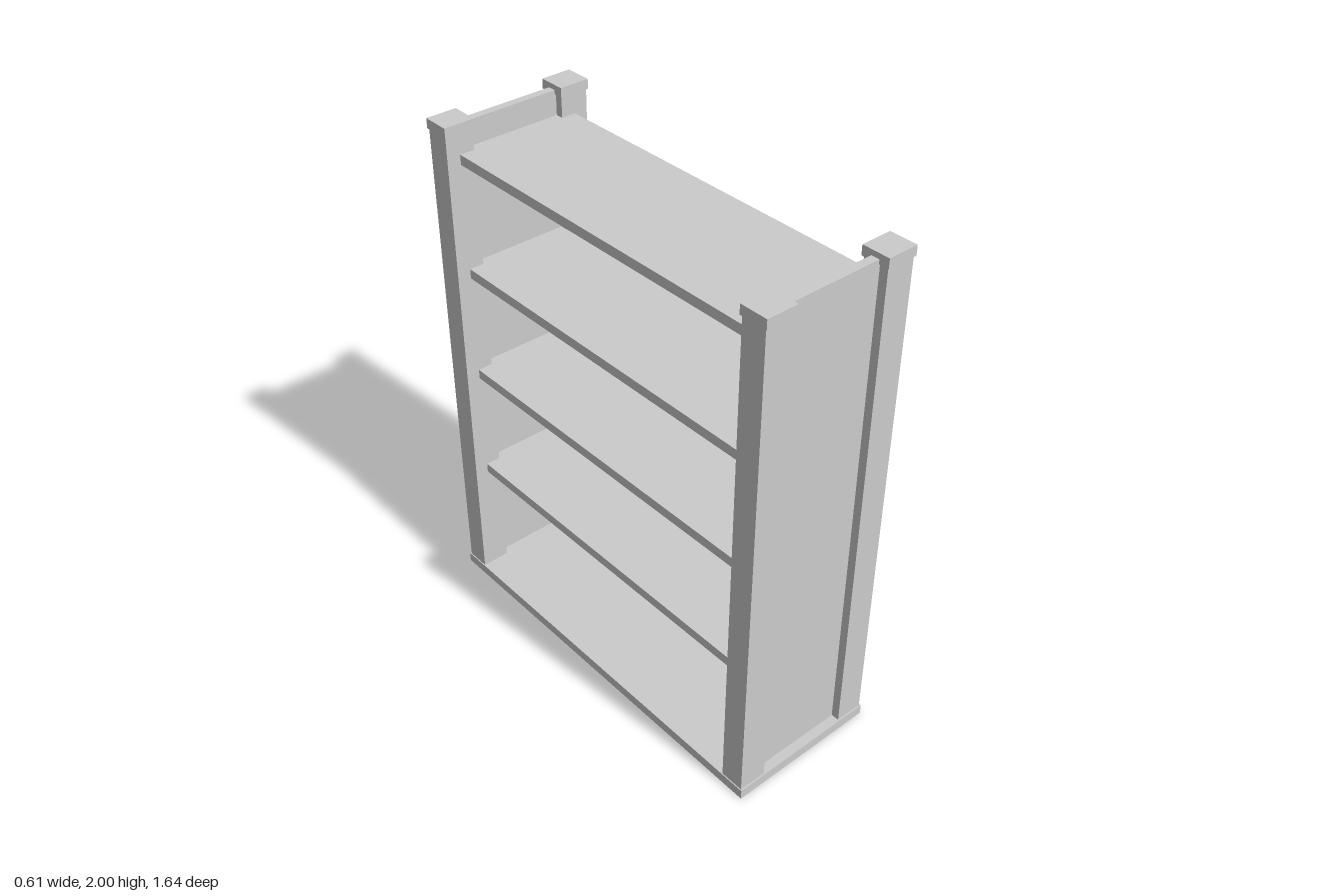
import * as THREE from 'three';

const material = new THREE.MeshStandardMaterial({ color: 0xcccccc });

// Box given by its [min, max] extent along each axis
function box(name, [x0, x1], [y0, y1], [z0, z1]) {
  const mesh = new THREE.Mesh(new THREE.BoxGeometry(x1 - x0, y1 - y0, z1 - z0), material);
  mesh.position.set((x0 + x1) / 2, (y0 + y1) / 2, (z0 + z1) / 2);
  mesh.name = name;
  return mesh;
}

// Extent [inner, outer] mirrored to the given side of the axis
const side = (s, inner, outer) => (s > 0 ? [inner, outer] : [-outer, -inner]);

export function createModel() {
  const group = new THREE.Group();
  group.name = 'shelfUnit';

  // Base board
  const baseTop = 0.04;
  group.add(box('base', [-0.305, 0.305], [0, baseTop], [-0.82, 0.82]));

  // Four shelves, running between the end panels and housed in the posts
  const shelfThickness = 0.038;
  [0.507, 0.958, 1.396, 1.846].forEach((y, i) => {
    group.add(box(`shelf${i + 1}`, [-0.248, 0.248], [y, y + shelfThickness], [-0.752, 0.752]));
  });

  for (const sz of [1, -1]) {
    const end = sz > 0 ? 'front' : 'back';

    // Recessed end panel
    group.add(box(`${end}Panel`, [-0.19, 0.19], [baseTop, 1.98], side(sz, 0.75, 0.782)));

    // Corner posts with slightly overhanging caps
    for (const sx of [1, -1]) {
      const corner = end + (sx > 0 ? 'Left' : 'Right');
      group.add(box(`${corner}Post`, side(sx, 0.19, 0.301), [baseTop, 1.963], side(sz, 0.719, 0.814)));
      group.add(box(`${corner}Cap`, side(sx, 0.185, 0.305), [1.963, 2], side(sz, 0.713, 0.82)));
    }
  }

  return group;
}
